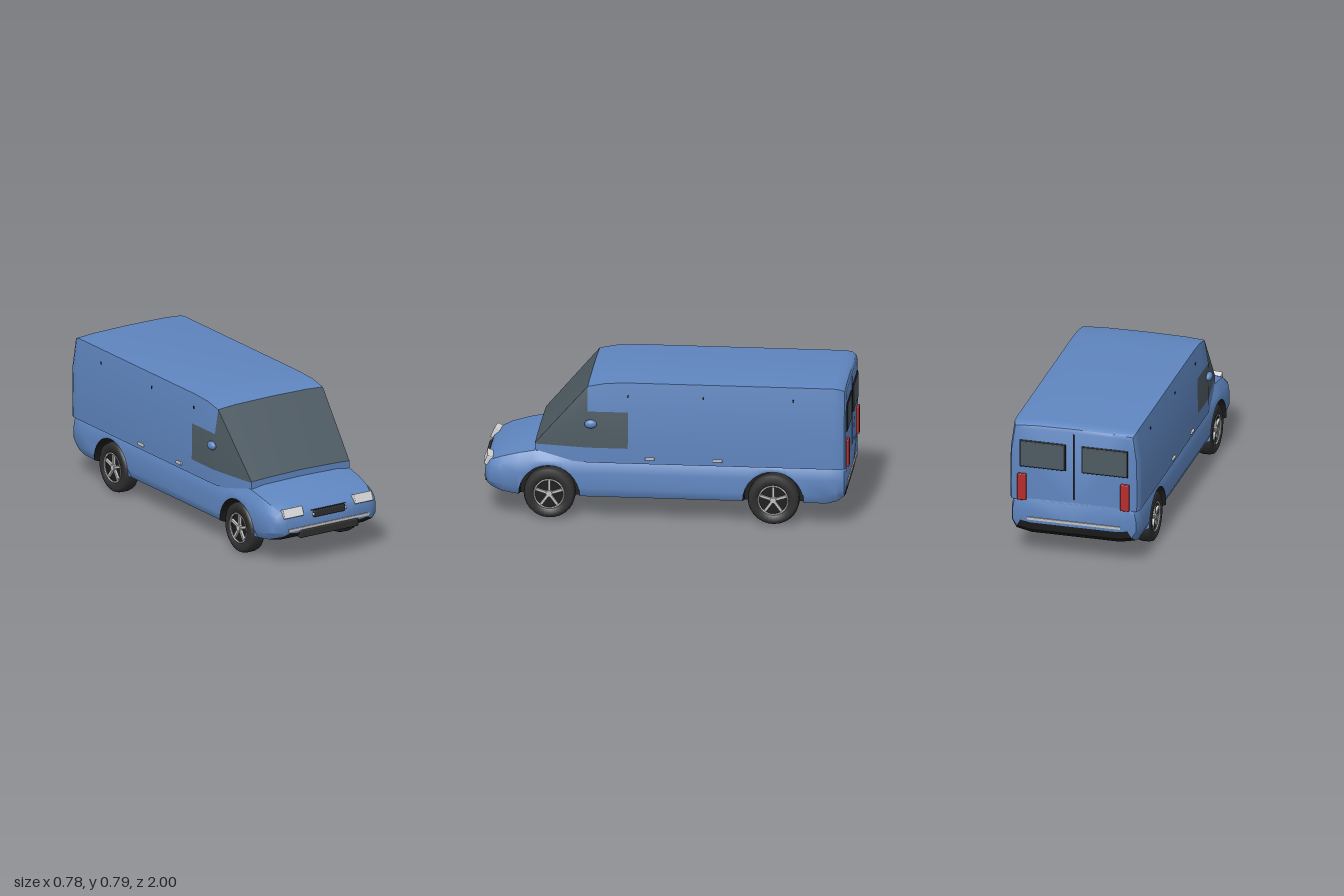
import * as THREE from 'three';
import { toCreasedNormals } from 'three/addons/utils/BufferGeometryUtils.js';
import { RoundedBoxGeometry } from 'three/addons/geometries/RoundedBoxGeometry.js';

const material = (name, color) => {
  const m = new THREE.MeshStandardMaterial({ color });
  m.name = name;
  return m;
};

const WHEEL_Z = [0.63, -0.59];
const WHEEL_R = 0.14;
const ARCH_R = 0.165;

// Linear interpolation in a table of rows [z, a, b, ...] sorted by z
function sample(rows, z) {
  let i = 0;
  while (i < rows.length - 2 && z > rows[i + 1][0]) i++;
  const a = rows[i], b = rows[i + 1];
  const t = THREE.MathUtils.clamp((z - a[0]) / (b[0] - a[0]), 0, 1);
  return a.map((v, k) => v + (b[k] - v) * t);
}

// Skins mirrored half sections (bottom centre to top centre) from back to front.
// pick(strip, station) returns the material index.
function loft(zs, halves, mats, pick) {
  const n = halves[0].length, count = 2 * n - 2;
  const pos = [], buckets = mats.map(() => []);
  halves.forEach((half, i) => {
    half.forEach(([x, y]) => pos.push(x, y, zs[i]));
    for (let j = n - 2; j > 0; j--) pos.push(-half[j][0], half[j][1], zs[i]);
  });
  for (let i = 0; i < zs.length - 1; i++) {
    for (let j = 0; j < count; j++) {
      const k = (j + 1) % count;
      const a = i * count + j, b = i * count + k, c = b + count, d = a + count;
      const strip = j < n - 1 ? j : count - 1 - j;
      buckets[pick(strip, i)].push(a, b, c, a, c, d);
    }
  }
  const last = (zs.length - 1) * count;
  for (let j = 1; j < count - 1; j++) {
    buckets[0].push(0, j + 1, j, last, last + j, last + j + 1);
  }
  const geo = new THREE.BufferGeometry();
  geo.setAttribute('position', new THREE.Float32BufferAttribute(pos, 3));
  geo.setIndex(buckets.flat());
  let start = 0;
  buckets.forEach((b, m) => {
    geo.addGroup(start, b.length, m);
    start += b.length;
  });
  return new THREE.Mesh(toCreasedNormals(geo, 0.6), mats);
}

export function createModel() {
  const paint = material('bluePaint', 0x5f86c0);
  const glass = material('glass', 0x4e5b63);
  const black = material('blackTrim', 0x1c1c1c);
  const rubber = material('tyreRubber', 0x2f2f2f);
  const chrome = material('chrome', 0xc2c2c2);
  const lamp = material('headlightLens', 0xd8d8da);
  const red = material('redLens', 0xb52c2c);

  const van = new THREE.Group();
  van.name = 'van';

  const add = (name, geo, mat, x = 0, y = 0, z = 0, parent = van) => {
    const mesh = new THREE.Mesh(geo, mat);
    mesh.name = name;
    mesh.position.set(x, y, z);
    parent.add(mesh);
    return mesh;
  };
  const box = (w, h, d) => new THREE.BoxGeometry(w, h, d);

  // Lower body: rows of z, half width, bottom, top
  const lowerRows = [
    [-0.985, 0.325, 0.2, 0.345], [-0.975, 0.347, 0.155, 0.36], [-0.94, 0.36, 0.125, 0.385],
    [-0.88, 0.363, 0.108, 0.39], [0.71, 0.363, 0.108, 0.394], [0.8, 0.36, 0.112, 0.375],
    [0.89, 0.352, 0.128, 0.348], [0.95, 0.33, 0.152, 0.32], [0.975, 0.3, 0.168, 0.3],
    [0.985, 0.275, 0.185, 0.285],
  ];
  const lowerZ = lowerRows.map((r) => r[0]);
  for (const c of WHEEL_Z) {
    lowerZ.push(c - ARCH_R - 0.001, c + ARCH_R + 0.001);
    for (let i = 0; i <= 16; i++) lowerZ.push(c + ARCH_R * Math.cos((i / 16) * Math.PI));
  }
  lowerZ.sort((a, b) => a - b);
  const lowerHalf = (z) => {
    const [, w, yb, yt] = sample(lowerRows, z);
    const h = yt - yb, inner = Math.min(0.25, w * 0.75);
    const c = WHEEL_Z.find((v) => Math.abs(z - v) < ARCH_R + 0.0005);
    const inArch = c !== undefined;
    // the sill rises over each wheel
    const a = inArch ? WHEEL_R + Math.sqrt(Math.max(0, ARCH_R ** 2 - (z - c) ** 2)) : yb;
    return [
      [0, yb], [inner, yb], [inner, a],
      [inArch ? w : w * 0.93, inArch ? a : yb + 0.07 * h],
      [w, Math.max(yb + 0.25 * h, a + 0.002)], [w, Math.max(yb + 0.55 * h, a + 0.004)],
      [w * 0.975, yb + 0.78 * h], [w * 0.89, yb + 0.94 * h], [w * 0.65, yb + 0.985 * h], [0, yt],
    ];
  };
  const lower = loft(lowerZ, lowerZ.map(lowerHalf), [paint, black], (s) => (s < 3 ? 1 : 0));
  lower.name = 'lowerBody';
  van.add(lower);

  // Upper body: rows of z, width factor, roof height; the last section is the windscreen base
  const upperRows = [
    [-0.985, 0.92, 0.757], [-0.977, 0.965, 0.775], [-0.955, 0.995, 0.788], [-0.92, 1, 0.793],
    [0.2, 1, 0.793], [0.32, 1, 0.787], [0.42, 1, 0.767],
  ];
  const upperHalves = upperRows.map(([, k, yt]) => [
    [0, 0.33], [0.365 * k, 0.33], [0.367 * k, 0.415], [0.364 * k, 0.62],
    [0.342 * k, yt - 0.011], [0.23 * k, yt - 0.003], [0, yt],
  ]);
  upperHalves.push([
    [0, 0.34], [0.32, 0.34], [0.32, 0.414], [0.32, 0.417], [0.32, 0.42], [0.215, 0.425], [0, 0.43],
  ]);
  const upperZ = [...upperRows.map((r) => r[0]), 0.71];
  const upper = loft(upperZ, upperHalves, [paint, glass], (s, i) => {
    const cabFront = i === upperZ.length - 2;
    return (cabFront && s >= 2) || (upperZ[i] >= 0.2 && s === 2) ? 1 : 0;
  });
  upper.name = 'upperBodyAndCab';
  van.add(upper);

  // Wheels
  const tyre = new THREE.LatheGeometry([
    [0.086, -0.045], [0.122, -0.045], [0.135, -0.037], [0.14, -0.02], [0.14, 0.02],
    [0.135, 0.037], [0.122, 0.045], [0.086, 0.045], [0.084, 0.02],
  ].map((p) => new THREE.Vector2(...p)), 28);
  const makeWheel = () => {
    const wheel = new THREE.Group();
    wheel.name = 'wheel';
    add('tyre', tyre, rubber, 0, 0, 0, wheel).rotation.z = -Math.PI / 2;
    add('wheelWell', new THREE.CylinderGeometry(0.087, 0.087, 0.065, 28), black, -0.006, 0, 0, wheel)
      .rotation.z = -Math.PI / 2;
    add('rim', new THREE.TorusGeometry(0.08, 0.005, 6, 28), chrome, 0.041, 0, 0, wheel).rotation.y = Math.PI / 2;
    add('hub', new THREE.CylinderGeometry(0.017, 0.02, 0.03, 16), chrome, 0.03, 0, 0, wheel)
      .rotation.z = -Math.PI / 2;
    for (let i = 0; i < 5; i++) {
      const a = (i / 5) * Math.PI * 2;
      add('spoke', box(0.016, 0.068, 0.014), chrome, 0.032, Math.cos(a) * 0.045, Math.sin(a) * 0.045, wheel)
        .rotation.x = a;
    }
    return wheel;
  };

  for (const side of [1, -1]) {
    for (const z of WHEEL_Z) {
      const wheel = makeWheel();
      wheel.position.set(side * 0.31, WHEEL_R, z);
      if (side < 0) wheel.rotation.y = Math.PI;
      van.add(wheel);
    }
    // Mirrors, handles and side markers
    add('wingMirror', new THREE.SphereGeometry(1, 20, 14), paint, side * 0.373, 0.552, 0.402)
      .scale.set(0.019, 0.024, 0.034);
    for (const z of [0.08, -0.29]) {
      add('doorHandle', new RoundedBoxGeometry(0.014, 0.016, 0.052, 2, 0.005), chrome, side * 0.369, 0.361, z);
    }
    for (const z of [0.2, -0.21, -0.7]) {
      add('sidePin', box(0.006, 0.014, 0.008), black, side * 0.352, 0.708, z);
    }
    // Lamps and rear windows
    const head = add('headlight', new RoundedBoxGeometry(0.12, 0.054, 0.036, 2, 0.005), lamp, side * 0.228, 0.3, 0.97);
    head.rotation.set(-0.4, side * 0.08, 0);
    add('grilleBulb', new THREE.SphereGeometry(0.007, 10, 8), lamp, side * 0.105, 0.275, 0.993);
    add('tailLight', new RoundedBoxGeometry(0.05, 0.155, 0.03, 2, 0.005), red, side * 0.29, 0.41, -0.985);
    add('rearWindowFrame', new RoundedBoxGeometry(0.262, 0.158, 0.01, 2, 0.004), black, side * 0.175, 0.605, -0.984);
    add('rearWindow', new RoundedBoxGeometry(0.25, 0.146, 0.012, 2, 0.004), glass, side * 0.175, 0.605, -0.986);
  }

  // Front trim
  add('grille', new RoundedBoxGeometry(0.206, 0.038, 0.024, 2, 0.006), rubber, 0, 0.274, 0.983);
  add('bonnetSeam', box(0.23, 0.003, 0.03), black, 0, 0.295, 0.966);
  add('frontBar', box(0.524, 0.015, 0.04), chrome, 0, 0.206, 0.97);
  add('frontBumper', new RoundedBoxGeometry(0.38, 0.045, 0.035, 2, 0.007), rubber, 0, 0.174, 0.976);

  // Rear trim
  add('rearDoorSeam', box(0.008, 0.385, 0.006), black, 0, 0.555, -0.985);
  add('rearBar', box(0.524, 0.015, 0.03), chrome, 0, 0.225, -0.976);

  return van;
}
